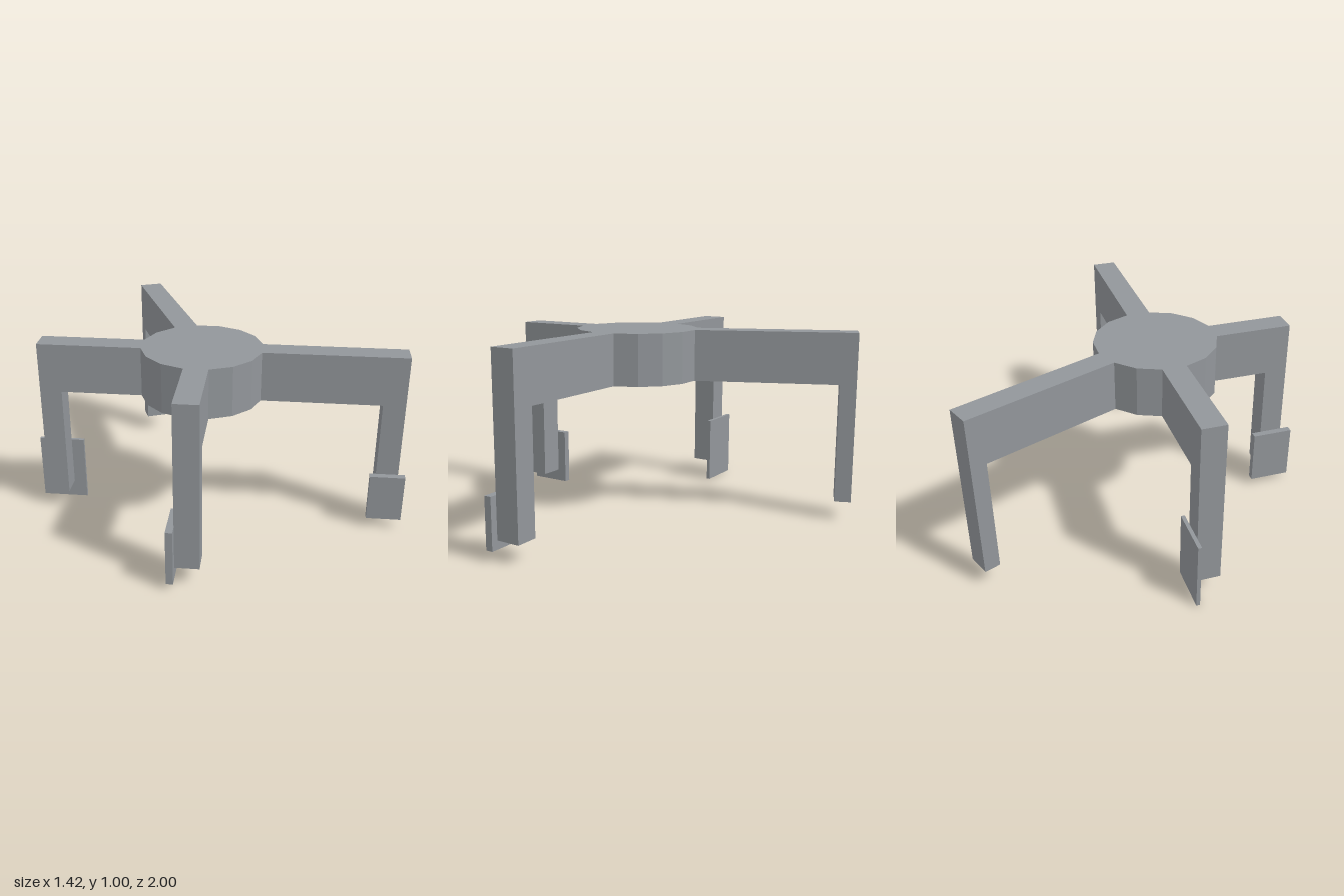
import * as THREE from 'three';

const TOP = 1.005, UNDER = 0.732, FOOT = 0.1; // heights of arm top, arm underside, leg end
const R = 0.329, SIDES = 16;
const APOTHEM = R * Math.cos(Math.PI / SIDES);
const WIDTH = 2 * R * Math.sin(Math.PI / SIDES); // each arm is as wide as one hub facet

// Each arm leaves one hub facet: angle from +x towards +z, reach, leg depth, optional side plate
const ARMS = [
  { name: 'backLeft', angle: -56.25, reach: 1.172, leg: 0.086 },
  { name: 'frontLeft', angle: 56.25, reach: 1.089, leg: 0.12,
    plate: { at: 1.03, length: 0.19, thick: 0.038, low: 0.055, high: 0.32 } },
  { name: 'backRight', angle: -123.75, reach: 0.888, leg: 0.12,
    plate: { at: 0.826, length: 0.256, thick: 0.02, low: 0, high: 0.373 } },
  { name: 'frontRight', angle: 146.25, reach: 0.745, leg: 0.124,
    plate: { at: 0.682, length: 0.226, thick: 0.037, low: 0.034, high: 0.338 } },
];

export function createModel() {
  const model = new THREE.Group();
  model.name = 'fourArmedStand';
  const material = new THREE.MeshStandardMaterial({ color: 0x92969a, flatShading: true });

  const add = (parent, name, geometry, x, y, z) => {
    const mesh = new THREE.Mesh(geometry, material);
    mesh.name = name;
    mesh.position.set(x, y, z);
    parent.add(mesh);
  };

  const body = new THREE.Group();
  body.name = 'body';
  body.position.set(0.004, 0, 0.006);
  model.add(body);

  // Sixteen-sided central hub
  add(body, 'hub', new THREE.CylinderGeometry(R, R, TOP - UNDER, SIDES), 0, (TOP + UNDER) / 2, 0);

  for (const { name, angle, reach, leg, plate } of ARMS) {
    const arm = new THREE.Group();
    arm.name = name + 'Arm';
    arm.rotation.y = -THREE.MathUtils.degToRad(angle);
    body.add(arm);

    // Arm and leg in one bent profile
    const profile = new THREE.Shape([
      [APOTHEM, UNDER], [reach - leg, UNDER], [reach - leg, FOOT],
      [reach, FOOT], [reach, TOP], [APOTHEM, TOP],
    ].map(([x, y]) => new THREE.Vector2(x, y)));
    const bent = new THREE.ExtrudeGeometry(profile, { depth: WIDTH, bevelEnabled: false });
    add(arm, name + 'Leg', bent, 0, 0, -WIDTH / 2);

    // Flat plate fixed to the side of the leg
    if (plate) {
      const { at, length, thick, low, high } = plate;
      add(arm, name + 'Plate', new THREE.BoxGeometry(length, high - low, thick),
        at, (low + high) / 2, (WIDTH + thick) / 2);
    }
  }
  return model;
}
